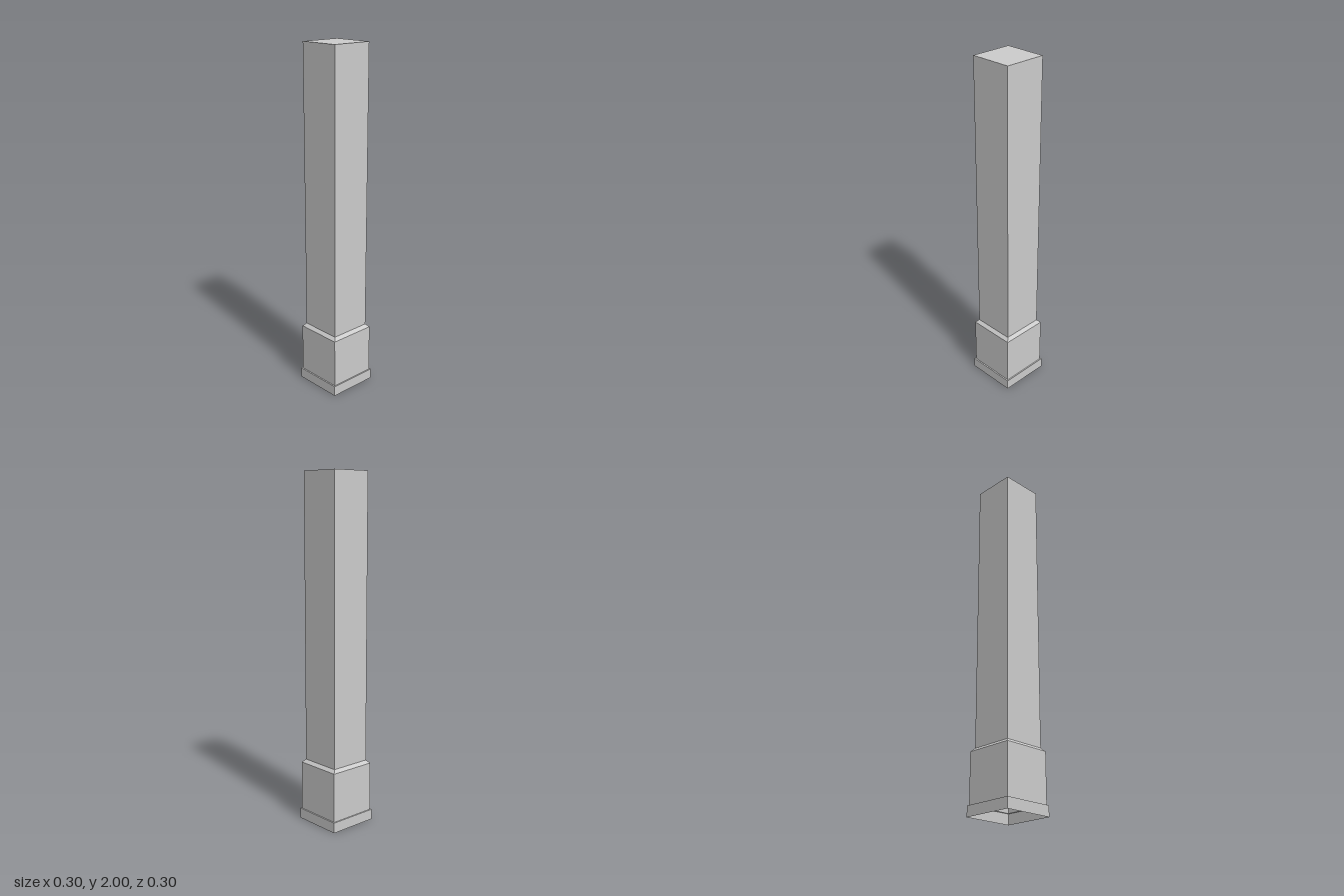
import * as THREE from 'three';

const material = new THREE.MeshStandardMaterial({
  color: 0xcccccc, flatShading: true, side: THREE.DoubleSide,
});

// Square shell: profile of [half width, height], bottom to top
function squareShell(name, profile) {
  const points = profile.map(([w, y]) => new THREE.Vector2(w * Math.SQRT2, y));
  const geometry = new THREE.LatheGeometry(points, 4, Math.PI / 4).toNonIndexed();
  geometry.computeVertexNormals();
  const mesh = new THREE.Mesh(geometry, material);
  mesh.name = name;
  return mesh;
}

export function createModel() {
  const group = new THREE.Group();
  group.name = 'squarePost';
  const shaftHalf = 0.123, sleeveHalf = 0.141, footHalf = 0.149;

  // Foot band, open underneath, with a flat ledge on top
  group.add(squareShell('foot', [[footHalf, 0], [footHalf, 0.06], [sleeveHalf, 0.06]]));

  // Sleeve with a chamfer up to the shaft
  group.add(squareShell('sleeve', [[sleeveHalf, 0.06], [sleeveHalf, 0.345], [shaftHalf, 0.363]]));

  // Tall shaft, capped on top
  group.add(squareShell('shaft', [[shaftHalf, 0.363], [shaftHalf, 2]]));
  const cap = new THREE.Mesh(new THREE.PlaneGeometry(shaftHalf * 2, shaftHalf * 2), material);
  cap.name = 'shaftTop';
  cap.rotation.x = -Math.PI / 2;
  cap.position.y = 2;
  group.add(cap);

  return group;
}
